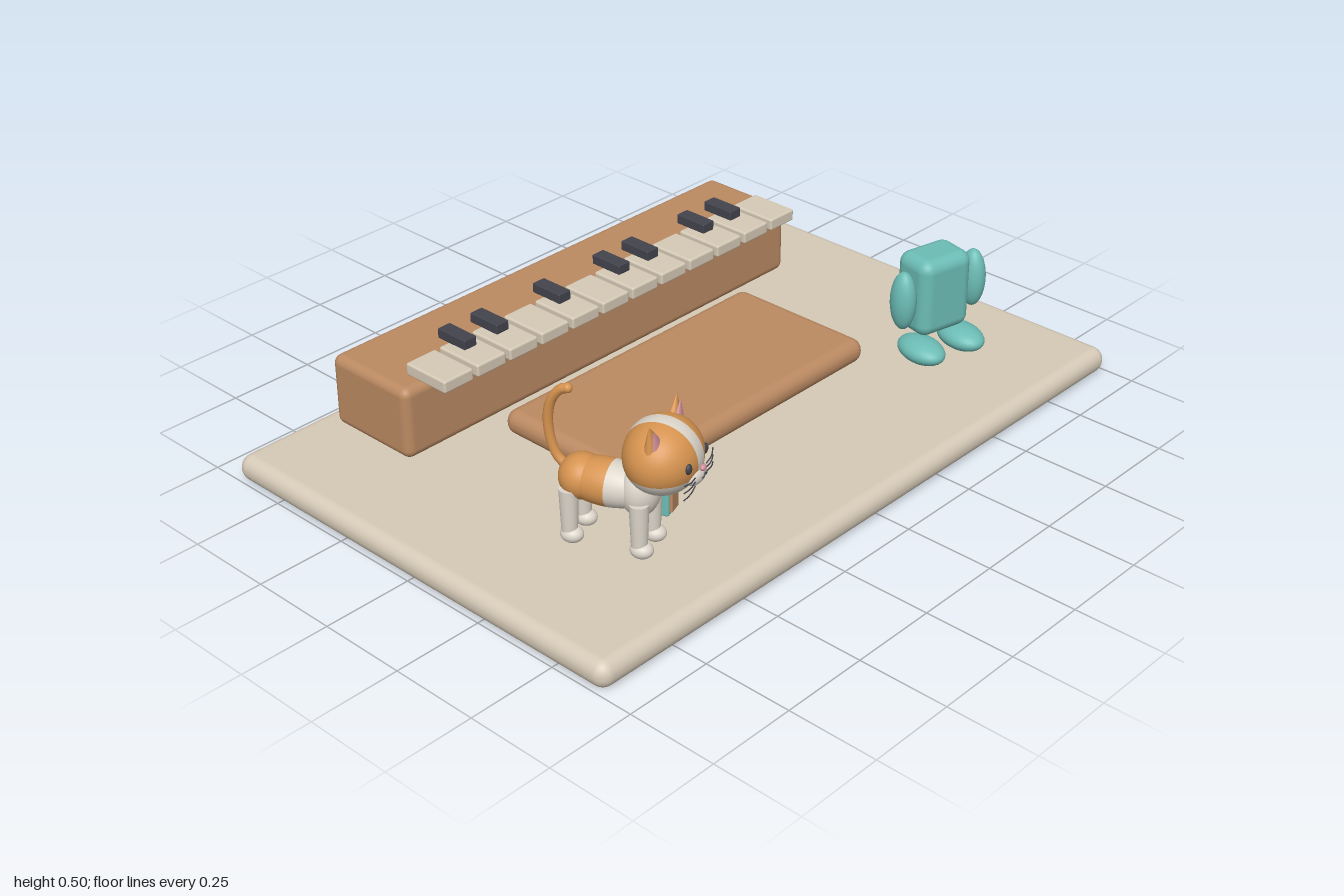
import * as THREE from 'three';
import { RoundedBoxGeometry } from 'three/addons/geometries/RoundedBoxGeometry.js';

const mat = (name, color, side = THREE.FrontSide) => {
  const m = new THREE.MeshStandardMaterial({ color, side });
  m.name = name;
  return m;
};
const cream = mat('cream', 0xd6cab7);
const wood = mat('wood', 0xbb8a62);
const teal = mat('teal', 0x6cbcb5);
const charcoal = mat('charcoal', 0x43434d);
const orange = mat('orange fur', 0xd6934f);
const white = mat('white fur', 0xdcd5ca);
const pink = mat('pink', 0xd08f9c);

function add(parent, name, geometry, material, x = 0, y = 0, z = 0) {
  const mesh = new THREE.Mesh(geometry, material);
  mesh.name = name;
  mesh.position.set(x, y, z);
  parent.add(mesh);
  return mesh;
}
const box = (w, h, d, r) => new RoundedBoxGeometry(w, h, d, 5, r);
const ellipsoid = (rx, ry, rz) => new THREE.SphereGeometry(1, 32, 20).scale(rx, ry, rz);
const group = (name, x, z, yaw) => {
  const g = new THREE.Group();
  g.name = name;
  g.position.set(x, 0, z);
  g.rotation.y = yaw;
  return g;
};
const tube = (points, r, n = 24) => new THREE.TubeGeometry(
  new THREE.CatmullRomCurve3(points.map(p => new THREE.Vector3(...p))), n, r, 10);

function makeKeyboard() {
  const g = group('keyboard', 0, 0, 0);
  add(g, 'keyboardBody', box(1.46, 0.206, 0.29, 0.025), wood, 0, 0.188, -0.44);
  const keyX = i => -0.626 + i * 0.1125;
  for (let i = 0; i < 12; i++) {
    add(g, 'whiteKey', box(0.098, 0.035, 0.146, 0.006), cream, keyX(i), 0.317, -0.277);
  }
  for (const i of [1, 2, 4, 6, 7, 9, 10]) {
    add(g, 'blackKey', box(0.042, 0.028, 0.102, 0.003), charcoal, keyX(i), 0.35, -0.334);
  }
  return g;
}

function makeTealFigure() {
  const g = group('tealFigure', 0.645, 0.313, -0.22);
  add(g, 'torso', box(0.172, 0.228, 0.13, 0.034), teal, 0, 0.275, 0);
  for (const s of [-1, 1]) {
    add(g, 'arm', ellipsoid(0.034, 0.086, 0.04), teal, s * 0.122, 0.28, 0.02);
    add(g, 'foot', ellipsoid(0.054, 0.034, 0.08), teal, s * 0.07, 0.124, 0.045);
  }
  return g;
}

function makeHead() {
  const head = new THREE.Group();
  head.name = 'head';
  head.position.set(0, 0.363, 0.122);
  const R = [0.11, 0.095, 0.096];
  // orange cap and white jaw are two zones of one ellipsoid
  const zone = (a, b) => new THREE.SphereGeometry(1, 40, 24, 0, Math.PI * 2, a, b - a).scale(...R);
  add(head, 'cap', zone(0, 1.92), orange);
  add(head, 'jaw', zone(1.92, Math.PI), white);
  // blaze running from the nose over the crown
  const band = new THREE.SphereGeometry(1.012, 48, 4, 0, Math.PI * 2, Math.PI / 2 - 0.17, 0.34)
    .rotateZ(Math.PI / 2).scale(...R);
  add(head, 'blaze', band, white);
  add(head, 'muzzle', ellipsoid(0.042, 0.026, 0.024), white, 0, -0.034, 0.08);
  add(head, 'nose', ellipsoid(0.011, 0.008, 0.008), pink, 0, -0.014, 0.1);
  for (const s of [-1, 1]) {
    const ear = new THREE.Group();
    ear.name = 'ear';
    ear.position.set(s * 0.073, 0.083, 0);
    ear.rotation.z = -s * 0.3;
    add(ear, 'earOuter', new THREE.ConeGeometry(0.036, 0.076, 20).scale(1, 1, 0.6), orange);
    add(ear, 'earInner', new THREE.ConeGeometry(0.027, 0.06, 20).scale(1, 1, 0.5), pink, 0, -0.004, 0.011);
    head.add(ear);
    add(head, 'eye', ellipsoid(0.011, 0.014, 0.008), charcoal, s * 0.05, 0.006, 0.084);
    // whiskers and mouth line
    for (const k of [-1, 0, 1]) {
      const y = -0.036 + k * 0.011;
      add(head, 'whisker', tube([[s * 0.034, y, 0.094], [s * 0.065, y + k * 0.004, 0.095],
        [s * 0.092, y + k * 0.009, 0.088]], 0.0016, 8), charcoal);
    }
    add(head, 'mouth', tube([[0, -0.024, 0.106], [s * 0.008, -0.035, 0.105],
      [s * 0.018, -0.033, 0.103]], 0.0016, 8), charcoal);
  }
  return head;
}

function makeBag() {
  const bag = new THREE.Group();
  bag.name = 'bag';
  bag.position.set(0.083, 0.188, 0.096);
  add(bag, 'bagBody', box(0.058, 0.084, 0.03, 0.006), teal);
  add(bag, 'bagPocket', box(0.042, 0.066, 0.016, 0.004), wood, 0, 0, 0.014);
  add(bag, 'bagHandle', new THREE.TorusGeometry(0.02, 0.005, 10, 20, Math.PI).scale(1, 1.7, 1), wood, 0, 0.04, 0);
  return bag;
}

function makeCat() {
  const cat = group('cat', -0.62, 0.34, 0.36);
  // body ellipsoid split crosswise into white chest and orange back
  const half = (a, b) => new THREE.SphereGeometry(1, 32, 20, 0, Math.PI * 2, a, b - a)
    .rotateX(Math.PI / 2).scale(0.061, 0.06, 0.125);
  add(cat, 'chest', half(0, 1.45), white, 0, 0.25, -0.025);
  add(cat, 'back', half(1.45, Math.PI), orange, 0, 0.25, -0.025);
  add(cat, 'rump', ellipsoid(0.06, 0.058, 0.058), orange, 0, 0.252, -0.09);
  add(cat, 'neck', ellipsoid(0.056, 0.07, 0.05), white, 0, 0.25, 0.062);
  for (const z of [0.075, -0.108]) {
    for (const s of [-1, 1]) {
      add(cat, 'leg', new THREE.CylinderGeometry(0.025, 0.02, 0.13, 20), white, s * 0.04, 0.17, z);
      add(cat, 'paw', ellipsoid(0.026, 0.022, 0.03), white, s * 0.04, 0.106, z + 0.006);
    }
  }
  const tailPoints = [[0, 0.265, -0.125], [0, 0.3, -0.158], [0, 0.38, -0.176],
    [0, 0.445, -0.166], [0, 0.48, -0.14], [0, 0.487, -0.122]];
  add(cat, 'tail', tube(tailPoints, 0.0125, 36), orange);
  add(cat, 'tailTip', ellipsoid(0.0125, 0.0125, 0.0125), orange, ...tailPoints[5]);
  cat.add(makeHead(), makeBag());
  return cat;
}

export function createModel() {
  const model = new THREE.Group();
  model.name = 'keyboardScene';
  add(model, 'basePlate', box(2, 0.075, 1.33, 0.036), cream, 0, 0.0375, 0);
  add(model, 'platform', box(0.935, 0.071, 0.455, 0.034), wood, 0, 0.119, 0);
  model.add(makeKeyboard(), makeTealFigure(), makeCat());
  return model;
}
